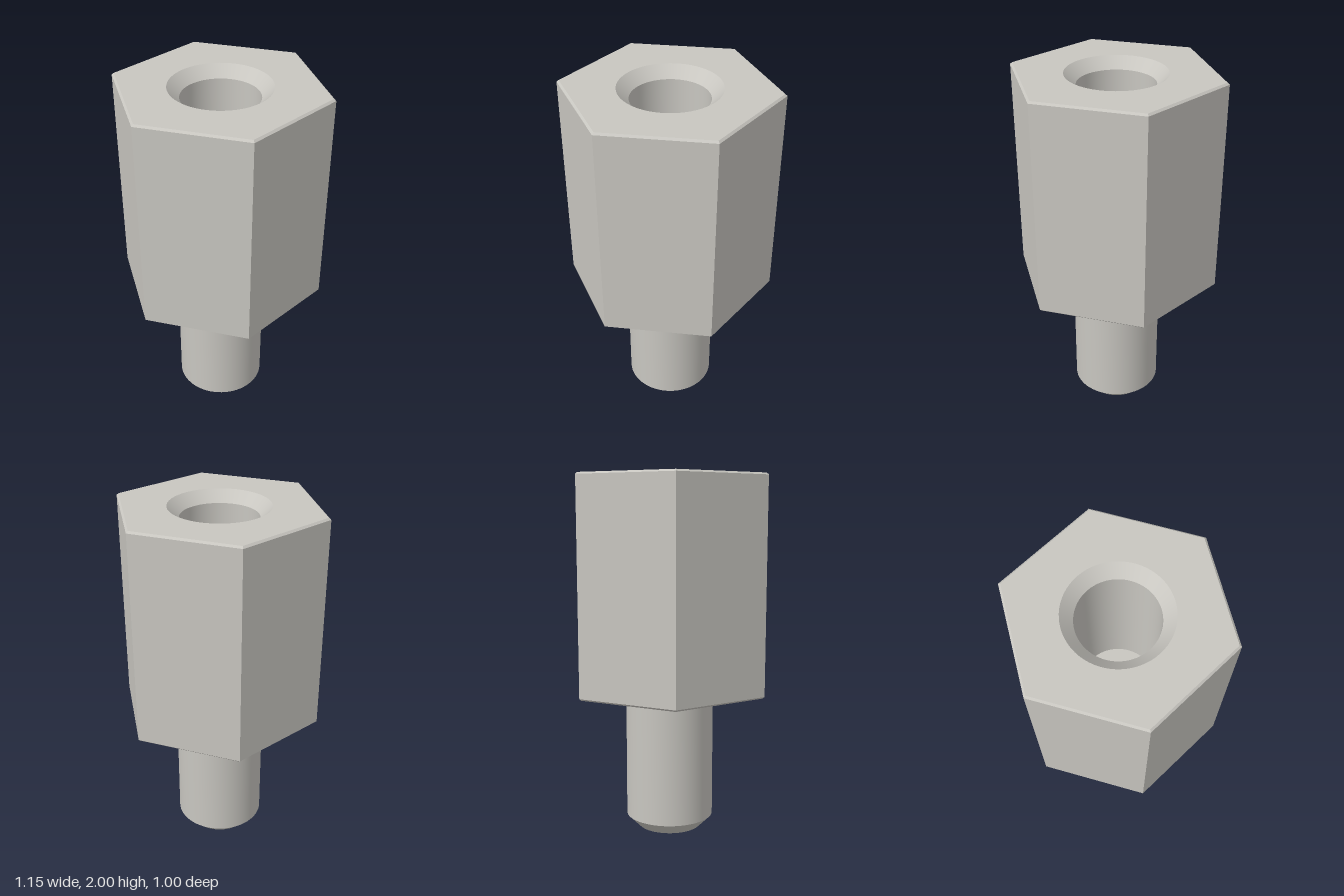
import * as THREE from 'three';
import { toCreasedNormals } from 'three/addons/utils/BufferGeometryUtils.js';

const HEX_R = 1 / Math.sqrt(3); // corner radius for a width of 1 across flats
const TOP_R = HEX_R - 0.012;    // corner radius inside the edge chamfer
const HEX_BOTTOM = 0.8;
const TOP = 2;
const SINK_R = 0.27;

// Revolve a profile of [radius, y] pairs, keeping sharp edges sharp
function revolve(profile, sides, start = 0) {
  const points = profile.map(([r, y]) => new THREE.Vector2(r, y));
  return toCreasedNormals(new THREE.LatheGeometry(points, sides, start), 0.4);
}

export function createModel() {
  const model = new THREE.Group();
  model.name = 'hexStandoff';
  const steel = new THREE.MeshStandardMaterial({ color: 0xc8c6c0 });
  steel.name = 'steel';

  const add = (name, geometry) => {
    const mesh = new THREE.Mesh(geometry, steel);
    mesh.name = name;
    model.add(mesh);
  };

  // Hexagonal body with fine chamfers at both ends
  add('hexBody', revolve([
    [0, HEX_BOTTOM], [TOP_R, HEX_BOTTOM], [HEX_R, HEX_BOTTOM + 0.01],
    [HEX_R, TOP - 0.01], [TOP_R, TOP],
  ], 6, Math.PI / 6));

  // Top face, open around the countersink
  const face = new THREE.Shape();
  for (let i = 0; i < 6; i++) {
    const a = i * Math.PI / 3;
    face[i ? 'lineTo' : 'moveTo'](TOP_R * Math.cos(a), TOP_R * Math.sin(a));
  }
  face.closePath();
  face.holes.push(new THREE.Path().absarc(0, 0, SINK_R, 0, Math.PI * 2, true));
  add('topFace', new THREE.ShapeGeometry(face, 32).rotateX(-Math.PI / 2).translate(0, TOP, 0));

  // Countersunk blind bore
  add('bore', revolve([[SINK_R, TOP], [0.208, TOP - 0.06], [0.208, 1.1], [0, 1.1]], 64));

  // Stud with a chamfered tip
  add('stud', revolve([[0, 0], [0.18, 0], [0.248, 0.068], [0.248, HEX_BOTTOM]], 64));

  return model;
}
